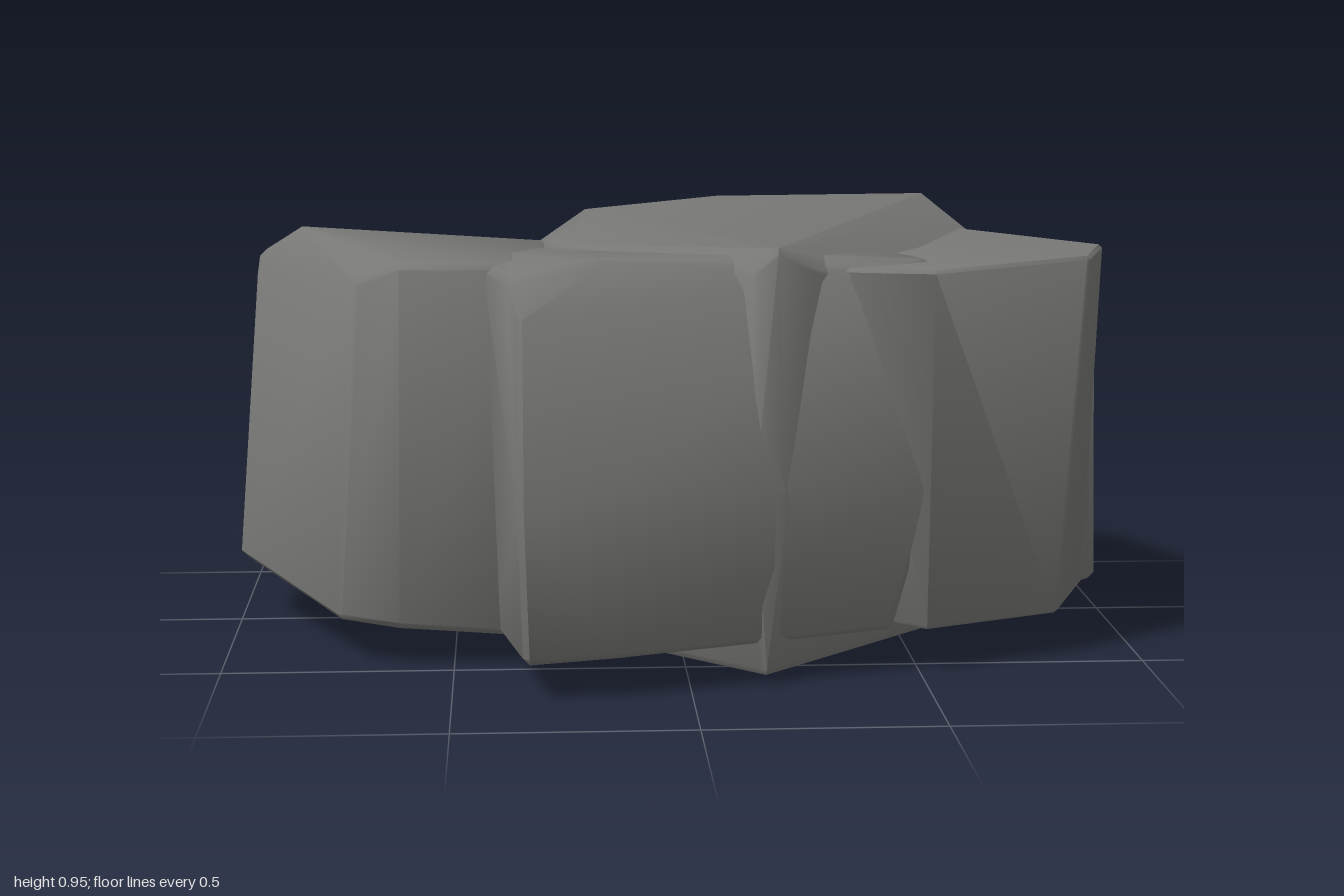
import * as THREE from 'three';
import { ConvexGeometry } from 'three/addons/geometries/ConvexGeometry.js';
import { toCreasedNormals } from 'three/addons/utils/BufferGeometryUtils.js';

const stone = new THREE.MeshStandardMaterial({ color: 0x777775 });
stone.name = 'grey stone';

// A convex boulder whose corners are pulled in and given a small worn bevel.
function boulder(name, corners, bevel = 0.014) {
  const pts = corners.map(c => new THREE.Vector3(...c));
  const box = new THREE.Box3().setFromPoints(pts);
  const mid = box.getCenter(new THREE.Vector3());
  const half = box.getSize(new THREE.Vector3()).multiplyScalar(0.5);
  const shrink = new THREE.Vector3(1 - bevel / half.x, 1 - bevel / half.y, 1 - bevel / half.z);
  const worn = [];
  for (const p of pts) {
    const q = p.clone().sub(mid).multiply(shrink).add(mid);
    for (const s of [-bevel, bevel]) {
      worn.push(q.clone().add(new THREE.Vector3(s, 0, 0)));
      worn.push(q.clone().add(new THREE.Vector3(0, s, 0)));
      worn.push(q.clone().add(new THREE.Vector3(0, 0, s)));
    }
  }
  const mesh = new THREE.Mesh(toCreasedNormals(new ConvexGeometry(worn), 0.8), stone);
  mesh.name = name;
  return mesh;
}

export function createModel() {
  const group = new THREE.Group();
  group.name = 'rockCluster';

  // Tall central slab, turned diagonally, with a sloping right shoulder
  group.add(boulder('centralRock', [
    [0.32, 0.05, -0.8], [1, 0.07, -0.04], [0.16, 0.025, 0.665], [-0.52, 0.005, -0.09],
    [0.32, 0.17, -0.8], [0.985, 0.66, -0.03], [0.7, 0.88, -0.26],
    [0.62, 0.96, -0.3], [0.14, 0.93, -0.59], [-0.05, 0.92, -0.47], [-0.2, 0.92, -0.35],
    [-0.31, 0.88, -0.02], [-0.27, 0.9, 0.28], [0.18, 0.93, 0.67], [0.45, 0.93, 0.26],
    [0.13, 0.42, 0.69], [0.2, 0.38, 0.685], [0.13, 0.89, 0.665], [0.26, 0.89, 0.62],
  ]));

  // Left block, its top falling away to the back
  group.add(boulder('leftRock', [
    [-1, 0.15, -0.19], [-1, 0.15, -0.03], [-0.75, 0.1, 0.42], [-0.62, 0.09, 0.47],
    [-0.35, 0.07, 0.47], [-0.4, 0.12, -0.58], [-0.05, 0.1, -0.59],
    [-0.96, 0.8, -0.18], [-0.94, 0.86, -0.03], [-0.85, 0.92, 0.03], [-0.65, 0.905, 0.32],
    [-0.7, 0.84, 0.41], [-0.61, 0.88, 0.46], [-0.33, 0.88, 0.46], [-0.28, 0.88, 0],
    [-0.41, 0.66, -0.57], [-0.12, 0.66, -0.585],
  ]));

  // Front block with a bulging face
  group.add(boulder('frontRock', [
    [-0.41, 0.07, 0.4], [-0.35, 0.08, 0.77], [-0.17, 0.09, 0.76], [0.44, 0.1, 0.57],
    [0.3, 0.1, 0], [-0.3, 0.1, 0.05],
    [-0.36, 0.4, 0.8], [-0.17, 0.45, 0.785], [0.52, 0.41, 0.59],
    [-0.36, 0.81, 0.765], [-0.43, 0.87, 0.42], [-0.38, 0.88, 0.7], [-0.2, 0.91, 0.67],
    [0.2, 0.91, 0.57], [0.43, 0.88, 0.56], [0.52, 0.89, 0.5],
    [-0.41, 0.88, 0.22], [-0.2, 0.88, 0.05], [0.4, 0.89, 0.2],
  ]));

  // Right block with a flat top
  group.add(boulder('rightRock', [
    [0.44, 0.1, 0.52], [0.51, 0.1, 0.58], [0.82, 0.1, 0.44], [0.92, 0.11, 0.2],
    [0.72, 0.12, -0.15], [0.45, 0.1, 0.1],
    [0.33, 0.88, 0.59], [0.51, 0.88, 0.635], [0.87, 0.89, 0.465], [0.945, 0.89, 0.23],
    [0.69, 0.885, -0.2], [0.5, 0.88, -0.05],
  ], 0.008));

  // Narrow wedge at the back
  group.add(boulder('backRock', [
    [0.18, 0.06, -0.69], [-0.09, 0.06, -0.58], [-0.1, 0.06, -0.2], [0.3, 0.08, 0],
    [0.18, 0.6, -0.715], [0.595, 0.89, -0.375], [0.13, 0.74, -0.66], [-0.12, 0.72, -0.54],
    [-0.14, 0.8, -0.42], [-0.1, 0.86, -0.25], [0.3, 0.88, -0.2],
  ], 0.008));

  // Buried rock showing as a bump on the left block and a ledge beneath it
  group.add(boulder('buriedRock', [
    [-0.56, 0.04, -0.3], [-0.5, 0.04, 0.1], [-0.1, 0.04, 0.1], [-0.1, 0.05, -0.35],
    [-0.56, 0.745, -0.365], [-0.29, 0.74, -0.43], [-0.14, 0.76, -0.39],
    [-0.27, 0.83, -0.3], [-0.43, 0.875, -0.09], [-0.2, 0.86, -0.1],
  ], 0.008));

  return group;
}
